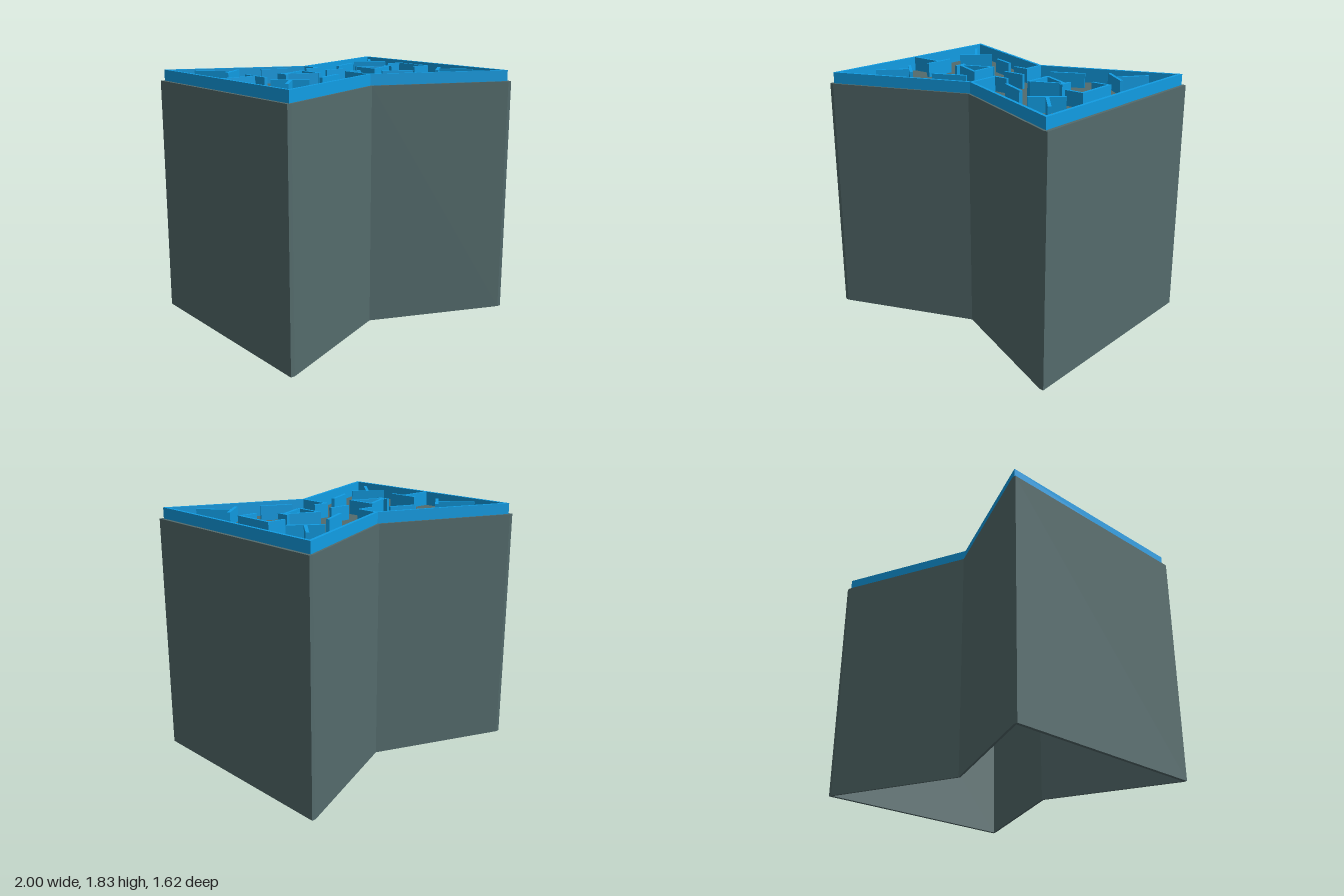
import * as THREE from 'three';

const baseMat = new THREE.MeshStandardMaterial({ color: 0x546b6c });
const wallMat = new THREE.MeshStandardMaterial({ color: 0x119de4 });

const TOP = 1.75, FLOOR = 1.725, WALL_TOP = 1.83, THICK = 0.023;

// Bow-tie outline in (x, z); flat is the width of the blunt corner
function bowTie(x, z, waist, flat = 0) {
  const quarter = flat ? [[x, z], [x - flat, z]] : [[x, z]];
  const flip = (sx, sz) => quarter.map(([a, b]) => [a * sx, b * sz]);
  return [
    ...flip(1, 1), [0, waist], ...flip(-1, 1).reverse(),
    ...flip(-1, -1), [0, -waist], ...flip(1, -1).reverse(),
  ].map(([a, b]) => new THREE.Vector2(a, b));
}

// Upright prism between two heights, with an optional hole
function prism(name, outline, hole, y0, y1, material) {
  const shape = new THREE.Shape(outline);
  if (hole) shape.holes.push(new THREE.Path(hole));
  const geo = new THREE.ExtrudeGeometry(shape, { depth: y1 - y0, bevelEnabled: false });
  geo.rotateX(Math.PI / 2).translate(0, y1, 0);
  const mesh = new THREE.Mesh(geo, material);
  mesh.name = name;
  return mesh;
}

// Thin walls following a polyline of (x, z) points
function wall(name, points) {
  const group = new THREE.Group();
  group.name = name;
  for (let i = 0; i + 1 < points.length; i++) {
    const [ax, az] = points[i], [bx, bz] = points[i + 1];
    const joint = i + 2 < points.length ? THICK / 2 : 0; // fill the bend
    const length = Math.hypot(bx - ax, bz - az);
    const geo = new THREE.BoxGeometry(length + joint, WALL_TOP - FLOOR, THICK);
    geo.translate((length + joint) / 2, 0, 0);
    const mesh = new THREE.Mesh(geo, wallMat);
    mesh.name = name + 'Segment';
    mesh.position.set(ax, (FLOOR + WALL_TOP) / 2, az);
    mesh.rotation.y = -Math.atan2(bz - az, bx - ax);
    group.add(mesh);
  }
  return group;
}

export function createModel() {
  const model = new THREE.Group();
  model.name = 'bowTieArena';

  // Hollow base, open underneath, with a sunken floor
  const inner = bowTie(0.975, 0.794, 0.394);
  model.add(prism('baseShell', bowTie(1, 0.81, 0.41, 0.03), inner, 0, TOP, baseMat));
  model.add(prism('floor', inner, null, FLOOR - 0.025, FLOOR, baseMat));

  // Perimeter wall
  model.add(prism('perimeterWall', inner, bowTie(0.951, 0.759, 0.369), FLOOR, WALL_TOP, wallMat));

  // T-shaped corner barriers: stem, then crossbar
  const corners = [
    [[[-0.835, -0.585], [-0.65, -0.38]], [[-0.745, -0.295], [-0.55, -0.46]]],
    [[[0.82, -0.59], [0.67, -0.4]], [[0.565, -0.475], [0.77, -0.32]]],
    [[[-0.81, 0.535], [-0.645, 0.345]], [[-0.745, 0.26], [-0.55, 0.425]]],
    [[[0.835, 0.58], [0.665, 0.385]], [[0.57, 0.47], [0.76, 0.305]]],
  ];
  for (const [stem, bar] of corners) {
    model.add(wall('cornerBarrierStem', stem), wall('cornerBarrierBar', bar));
  }

  // Slanted single barriers
  for (const line of [
    [[-0.41, -0.365], [-0.225, -0.295]],
    [[0.21, -0.24], [0.435, -0.355]],
    [[-0.405, 0.355], [-0.17, 0.245]],
    [[0.22, 0.265], [0.43, 0.365]],
  ]) model.add(wall('slantedBarrier', line));

  // Triangular enclosures with a short bar across the tip
  for (const [baseX, tipX] of [[-0.23, -0.465], [0.29, 0.52]]) {
    model.add(wall('triangleEnclosure', [[tipX, 0], [baseX, -0.105], [baseX, 0.1], [tipX, 0]]));
    model.add(wall('triangleTipBar', [[tipX, -0.052], [tipX, 0.047]]));
  }

  // Side barriers
  model.add(wall('sideStem', [[-0.955, -0.005], [-0.69, -0.005]]));
  model.add(wall('sideBar', [[-0.69, -0.125], [-0.69, 0.12]]));
  model.add(wall('sideBracket', [[0.64, -0.155], [0.775, -0.155], [0.775, 0.15], [0.64, 0.15]]));

  // Waist hooks and centre barrier
  model.add(wall('backHook', [[0.003, -0.38], [0.003, -0.22], [-0.11, -0.22]]));
  model.add(wall('frontHook', [[0.003, 0.38], [0.003, 0.135], [0.12, 0.135]]));
  model.add(wall('centreBarrier', [[-0.055, -0.04], [0.12, -0.04]]));

  return model;
}
